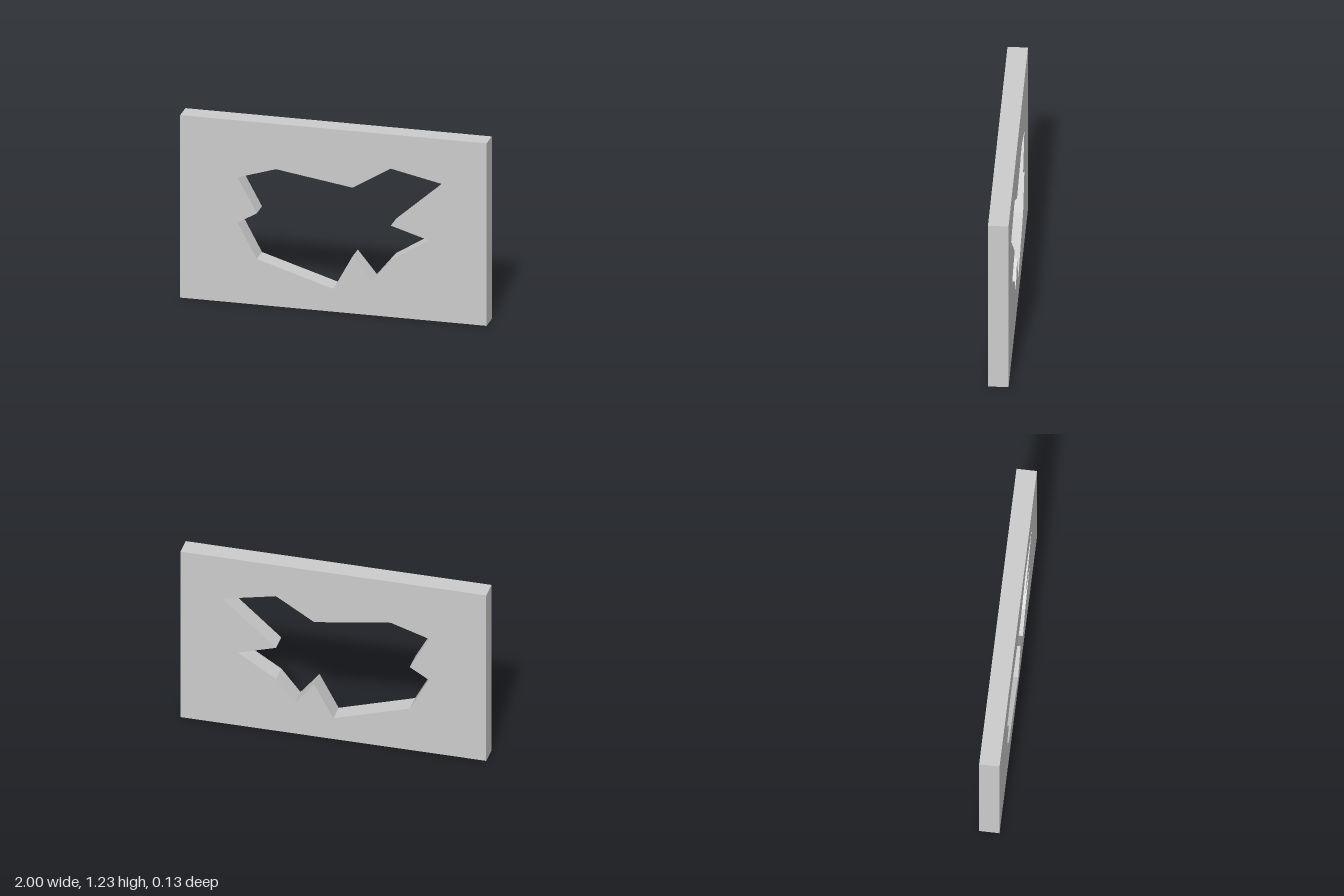
import * as THREE from 'three';

const WIDTH = 2, HEIGHT = 1.23, DEPTH = 0.13;

// Outline of the jagged opening, clockwise from the upper left
const OPENING = [
  [-0.625, 0.846], [-0.375, 0.925], [0.125, 0.848], [0.375, 1.0], [0.725, 0.925],
  [0.375, 0.616], [0.625, 0.54], [0.375, 0.385], [0.25, 0.231], [0.125, 0.385],
  [0, 0.154], [-0.5, 0.308], [-0.625, 0.54], [-0.5, 0.616],
];

const toPoints = (pairs) => pairs.map(([x, y]) => new THREE.Vector2(x, y));

export function createModel() {
  const group = new THREE.Group();
  group.name = 'panelWithOpening';

  // Rectangular slab, cut right through by the opening
  const w = WIDTH / 2;
  const outline = new THREE.Shape(toPoints([[-w, 0], [w, 0], [w, HEIGHT], [-w, HEIGHT]]));
  outline.holes.push(new THREE.Path(toPoints(OPENING)));

  const geometry = new THREE.ExtrudeGeometry(outline, { depth: DEPTH, bevelEnabled: false });
  geometry.translate(0, 0, -DEPTH / 2);

  const panel = new THREE.Mesh(
    geometry,
    new THREE.MeshStandardMaterial({ color: 0xcccccc, flatShading: true }),
  );
  panel.name = 'panel';
  group.add(panel);
  return group;
}
